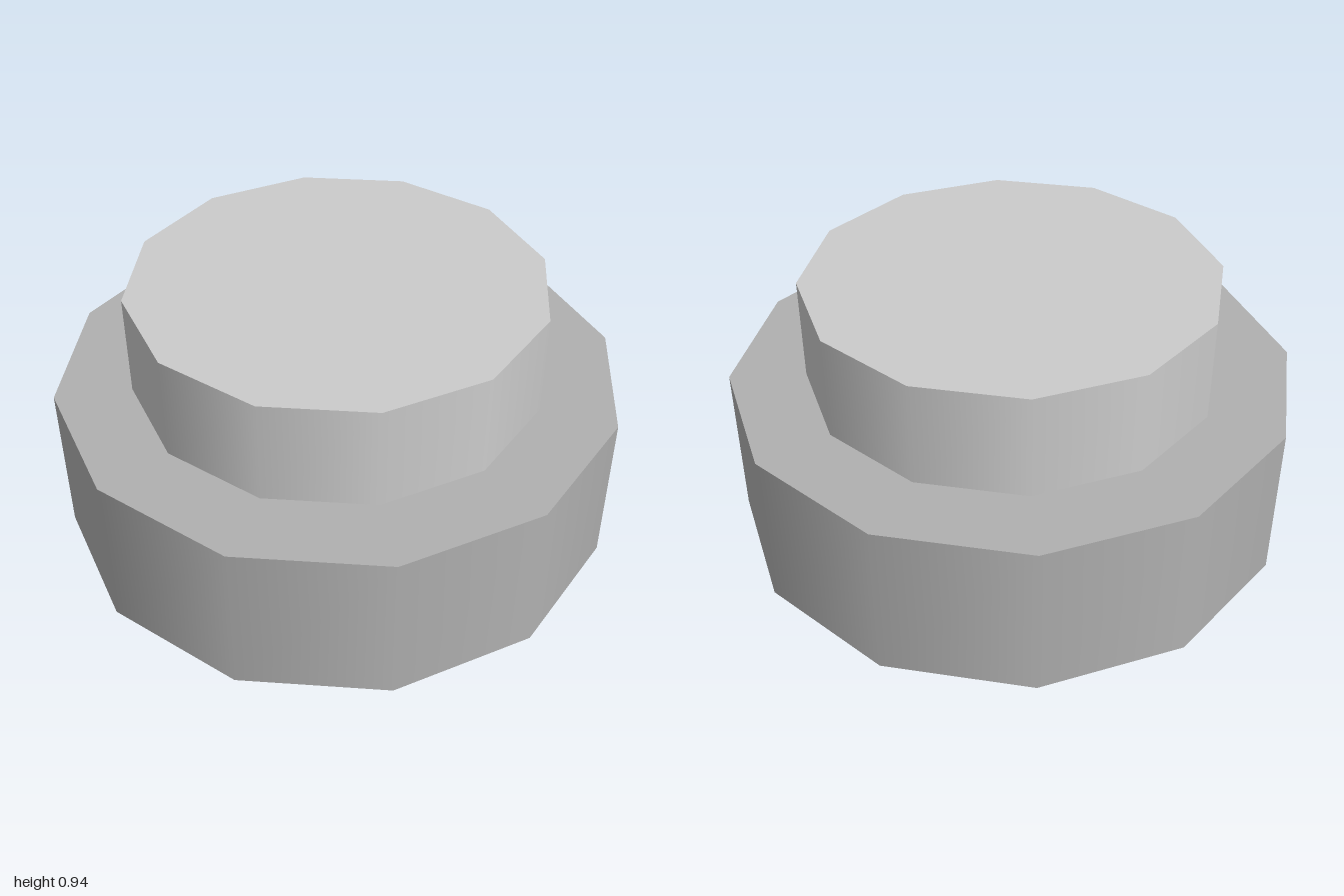
import * as THREE from 'three';

// Twelve-sided drum with smooth-shaded sides, standing on height y0
function drum(name, radius, y0, y1, color) {
  const geometry = new THREE.CylinderGeometry(radius, radius, y1 - y0, 12);
  const mesh = new THREE.Mesh(geometry, new THREE.MeshStandardMaterial({ color }));
  mesh.name = name;
  mesh.position.y = (y0 + y1) / 2;
  return mesh;
}

export function createModel() {
  const model = new THREE.Group();
  model.name = 'pushButton';
  model.add(
    drum('base', 1, 0, 0.57, 0xb0b0b0), // wide, darker housing
    drum('cap', 0.73, 0.57, 0.94, 0xcccccc) // narrower raised cap
  );
  return model;
}
